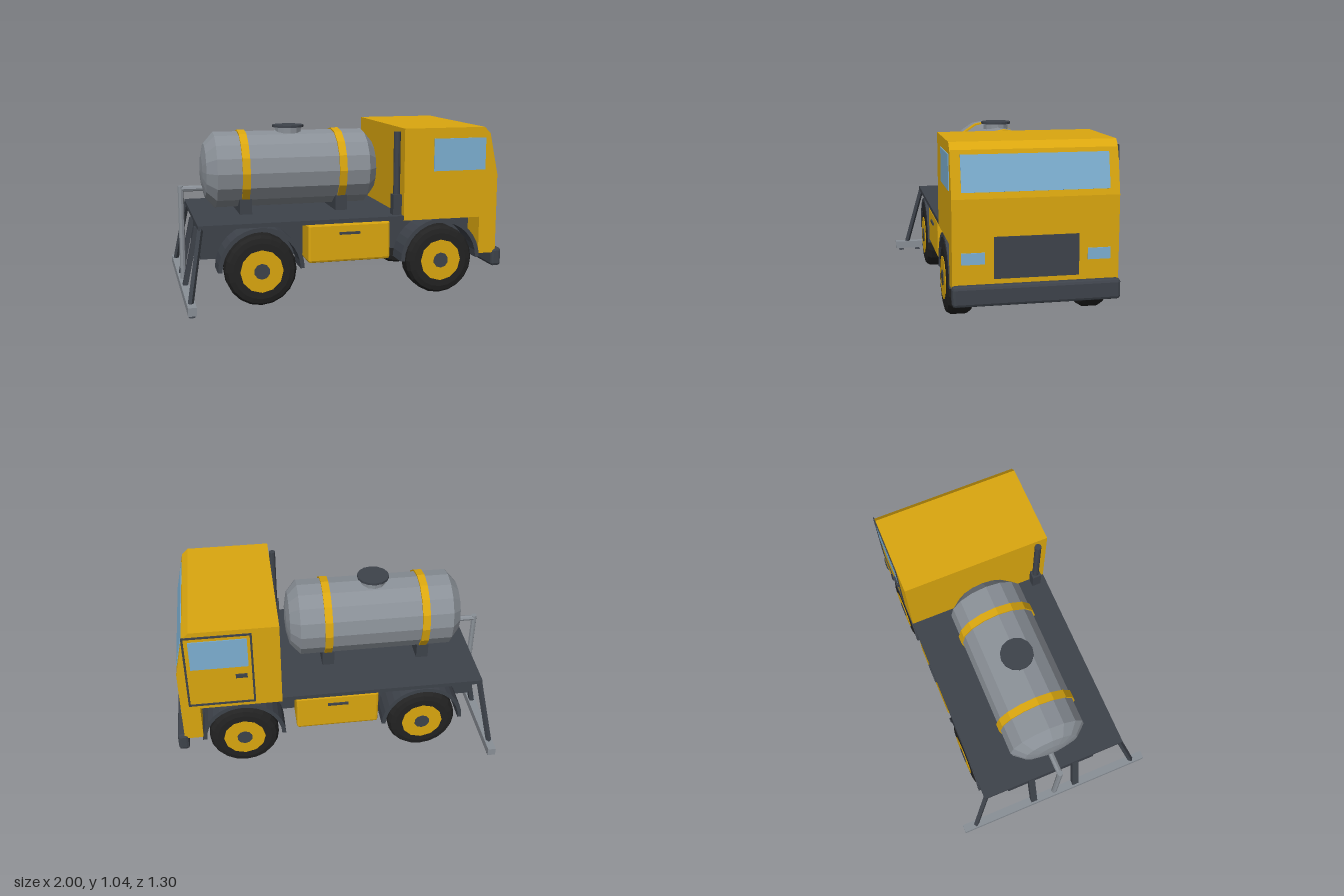
import * as THREE from 'three';
import { RoundedBoxGeometry } from 'three/addons/geometries/RoundedBoxGeometry.js';

const mat = (name, color) => new THREE.MeshStandardMaterial({ name, color, flatShading: true });

export function createModel() {
  const yellow = mat('yellow paint', 0xdba70f);
  const steel = mat('grey steel', 0x8a9097);
  const dark = mat('dark metal', 0x3e434b);
  const rubber = mat('black rubber', 0x222222);
  const glass = mat('blue glass', 0x7db0d2);

  const model = new THREE.Group();
  model.name = 'tankTruck';

  const add = (name, geometry, material, parent = model) => {
    const mesh = new THREE.Mesh(geometry, material);
    mesh.name = name;
    parent.add(mesh);
    return mesh;
  };
  // Box given by its limits on each axis
  const box = (name, material, [x0, x1], [y0, y1], [z0, z1], round = 0) => {
    const size = [x1 - x0, y1 - y0, z1 - z0];
    const geometry = round ? new RoundedBoxGeometry(...size, 1, round) : new THREE.BoxGeometry(...size);
    const mesh = add(name, geometry, material);
    mesh.position.set((x0 + x1) / 2, (y0 + y1) / 2, (z0 + z1) / 2);
    return mesh;
  };
  // Square bar between two points
  const bar = (name, material, a, b, width, depth = width) => {
    const from = new THREE.Vector3(...a), to = new THREE.Vector3(...b);
    const mesh = add(name, new THREE.BoxGeometry(width, depth, from.distanceTo(to)), material);
    mesh.position.copy(from).lerp(to, 0.5);
    mesh.lookAt(to);
    return mesh;
  };
  const cylinder = (name, material, rTop, rBottom, height, sides, [x, y, z]) => {
    const mesh = add(name, new THREE.CylinderGeometry(rTop, rBottom, height, sides), material);
    mesh.position.set(x, y, z);
    return mesh;
  };
  const lathe = (points, sides) =>
    new THREE.LatheGeometry(points.map(([r, y]) => new THREE.Vector2(r, y)), sides);

  // Cab from its side profile, with a raked front and a nose ahead of the wheel
  const cabShape = new THREE.Shape([
    [0.34, 0.48], [0.84, 0.48], [0.84, 0.245], [0.955, 0.245], [0.955, 0.745],
    [0.9, 1.005], [0.86, 1.045], [0.34, 1.045],
  ].map(([x, y]) => new THREE.Vector2(x, y)));
  const cab = add('cab', new THREE.ExtrudeGeometry(cabShape, { depth: 0.94, bevelEnabled: false }), yellow);
  cab.position.z = -0.47;

  // Windows, grille, headlights and bumper
  const windscreen = add('windscreen', new THREE.BoxGeometry(0.008, 0.205, 0.83), glass);
  windscreen.position.set(0.927, 0.88, 0);
  windscreen.rotation.z = Math.atan2(0.055, 0.26);
  for (const s of [1, -1]) {
    box('sideWindow', glass, [0.53, 0.87], [0.78, 0.98], s > 0 ? [0.468, 0.475] : [-0.475, -0.468]);
    box('headlight', glass, [0.953, 0.961], [0.385, 0.45], s > 0 ? [0.29, 0.42] : [-0.42, -0.29]);
  }
  box('grille', dark, [0.953, 0.961], [0.3, 0.535], [-0.24, 0.24]);
  box('bumper', dark, [0.93, 0.998], [0.155, 0.272], [-0.475, 0.475], 0.018);

  // Door outline and handle on the far side
  const doorZ = [-0.476, -0.468];
  for (const x of [0.5, 0.893]) box('doorFrameUpright', dark, [x, x + 0.012], [0.505, 1.015], doorZ);
  for (const y of [0.505, 1.003]) box('doorFrameRail', dark, [0.5, 0.905], [y, y + 0.012], doorZ);
  box('doorHandle', dark, [0.54, 0.61], [0.7, 0.725], [-0.48, -0.468]);

  // Chassis, deck and tool boxes
  box('chassis', dark, [-0.89, 0.85], [0.27, 0.486], [-0.3, 0.3]);
  box('deck', dark, [-0.915, 0.34], [0.484, 0.51], [-0.47, 0.47]);
  for (const s of [1, -1]) {
    box('toolBox', yellow, [-0.26, 0.255], [0.245, 0.484], s > 0 ? [0.24, 0.467] : [-0.467, -0.24], 0.015);
    box('toolBoxHandle', dark, [-0.068, 0.06], [0.415, 0.43], s > 0 ? [0.464, 0.476] : [-0.476, -0.464]);
  }

  // Wheels with fenders and axles
  const tyre = lathe([[0, -0.078], [0.17, -0.078], [0.2, -0.07], [0.216, -0.045],
    [0.216, 0.045], [0.2, 0.07], [0.17, 0.078], [0, 0.078]], 20);
  const archShape = new THREE.Shape();
  archShape.absarc(0, 0, 0.26, 0, Math.PI, false);
  archShape.absarc(0, 0, 0.235, Math.PI, 0, true);
  const arch = new THREE.ExtrudeGeometry(archShape, { depth: 0.16, bevelEnabled: false, curveSegments: 8 });
  for (const x of [-0.545, 0.585]) {
    const axle = cylinder('axle', dark, 0.035, 0.035, 0.7, 8, [x, 0.218, 0]);
    axle.rotation.x = Math.PI / 2;
    for (const s of [1, -1]) {
      const wheel = new THREE.Group();
      wheel.name = 'wheel';
      wheel.position.set(x, 0.218, s * 0.396);
      wheel.rotation.x = s * Math.PI / 2;
      model.add(wheel);
      add('tyre', tyre, rubber, wheel);
      add('rim', new THREE.CylinderGeometry(0.13, 0.13, 0.01, 12), yellow, wheel).position.y = 0.076;
      add('hub', new THREE.CylinderGeometry(0.048, 0.048, 0.01, 10), dark, wheel).position.y = 0.08;
      add('fender', arch, dark).position.set(x, 0.222, s > 0 ? 0.312 : -0.472);
    }
  }

  // Tank with domed ends, lying along the truck
  const tank = add('tank', lathe([[0, -0.565], [0.09, -0.558], [0.17, -0.54], [0.24, -0.48],
    [0.24, 0.48], [0.17, 0.54], [0.09, 0.558], [0, 0.565]], 16), steel);
  tank.position.set(-0.285, 0.77, 0);
  tank.rotation.z = Math.PI / 2;
  for (const x of [-0.59, 0.02]) {
    const strap = cylinder('tankStrap', yellow, 0.25, 0.25, 0.048, 16, [x, 0.77, 0]);
    strap.rotation.z = Math.PI / 2;
    box('tankSaddle', dark, [x - 0.038, x + 0.038], [0.508, 0.605], [-0.185, 0.185]);
  }
  cylinder('hatchNeck', steel, 0.083, 0.083, 0.05, 12, [-0.285, 1.01, 0]);
  cylinder('hatchLid', dark, 0.1, 0.1, 0.014, 14, [-0.285, 1.038, 0]);

  // Exhaust stack behind the cab
  box('exhaustBase', dark, [0.285, 0.343], [0.508, 0.635], [0.37, 0.428]);
  cylinder('exhaustPipe', dark, 0.021, 0.021, 0.4, 10, [0.315, 0.822, 0.399]);

  // Spray bar with nozzles, struts and feed pipe
  box('sprayBar', steel, [-1, -0.95], [0.03, 0.08], [-0.65, 0.65]);
  for (let i = -5; i <= 5; i++) {
    cylinder('nozzle', dark, 0.01, 0.02, 0.018, 8, [-0.975, 0.022, i * 0.122]);
  }
  for (const s of [1, -1]) {
    bar('outerStrut', dark, [-0.9, 0.49, s * 0.455], [-0.978, 0.07, s * 0.565], 0.025);
    bar('innerStrut', dark, [-0.895, 0.44, s * 0.15], [-0.975, 0.07, s * 0.15], 0.042, 0.03);
  }
  const feedAcross = cylinder('feedPipeAcross', steel, 0.018, 0.018, 0.17, 8, [-0.888, 0.657, 0]);
  feedAcross.rotation.z = Math.PI / 2;
  cylinder('feedPipeDown', steel, 0.018, 0.018, 0.615, 8, [-0.972, 0.368, 0]);

  return model;
}
